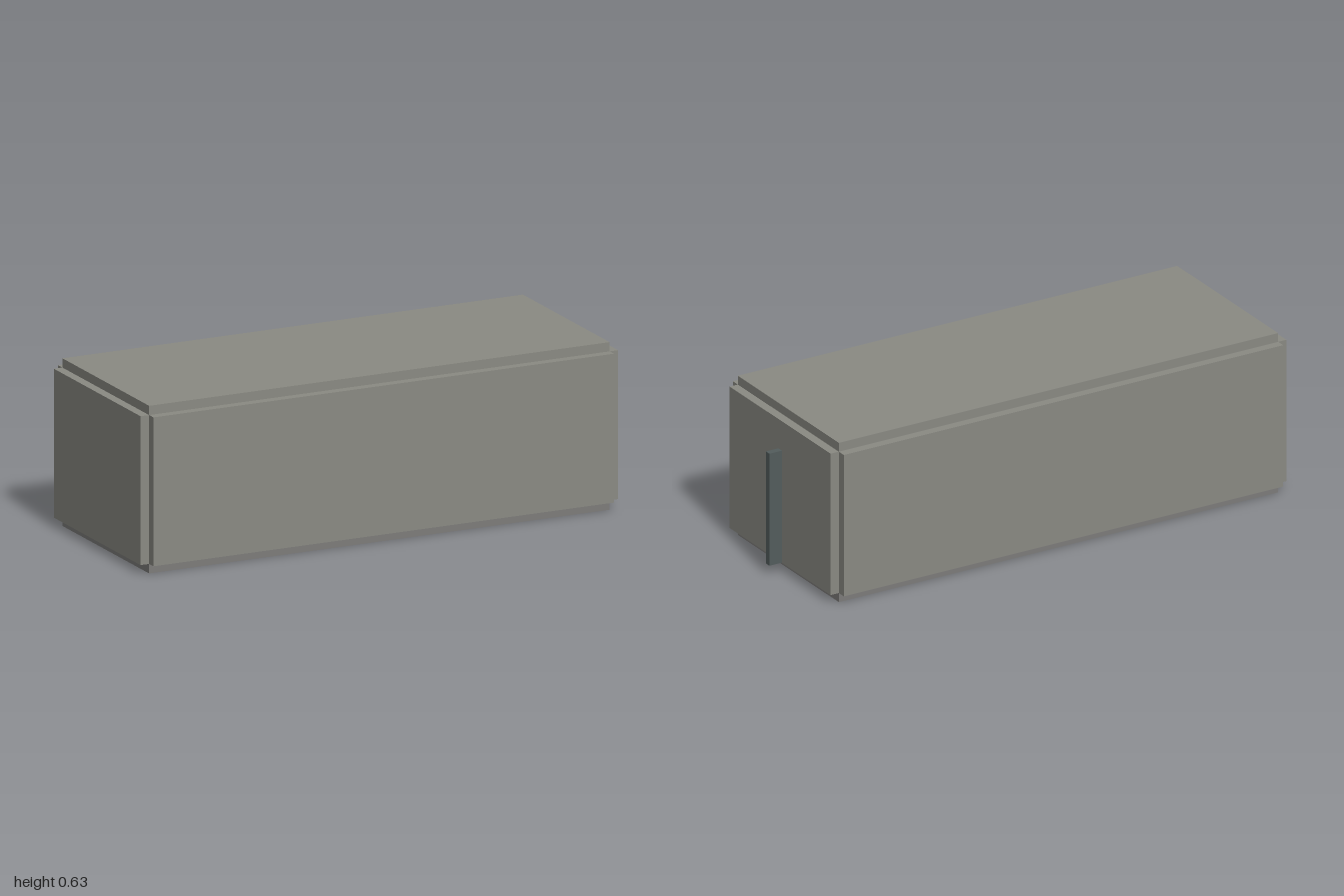
import * as THREE from 'three';

export function createModel() {
  const model = new THREE.Group();
  const shell = new THREE.MeshStandardMaterial({ color: 0x8a8a83 });
  const base = new THREE.MeshStandardMaterial({ color: 0x7d7c7a });
  const dark = new THREE.MeshStandardMaterial({ color: 0x535d5d });

  // Box given by its low and high corners
  function slab(name, material, lo, hi) {
    const size = hi.map((v, i) => v - lo[i]);
    const mesh = new THREE.Mesh(new THREE.BoxGeometry(...size), material);
    mesh.position.set(...hi.map((v, i) => (v + lo[i]) / 2));
    mesh.name = name;
    model.add(mesh);
  }

  // Inner volume; each panel sits on one of its faces, leaving stepped edges
  const x0 = -0.965, x1 = 0.912, y0 = 0.036, y1 = 0.6, z = 0.352, t = 0.035;

  slab('floorPanel', base, [x0, 0, -z], [x1, y0, z]);
  slab('roofPanel', shell, [x0, y1, -z], [x1, y1 + t, z]);
  slab('frontPanel', shell, [x0, y0, z], [x1, y1, z + t]);
  slab('backPanel', shell, [x0, y0, -z - t], [x1, y1, -z]);
  slab('rightEndPanel', shell, [x0 - t, y0, -z], [x0, y1, z]);
  slab('leftEndPanel', shell, [x1, y0, -z], [x1 + t, y1, z]);

  // Upright fin on the left end
  slab('endFin', dark, [x1 + t, y0, -0.012], [1, 0.483, 0.012]);

  return model;
}
